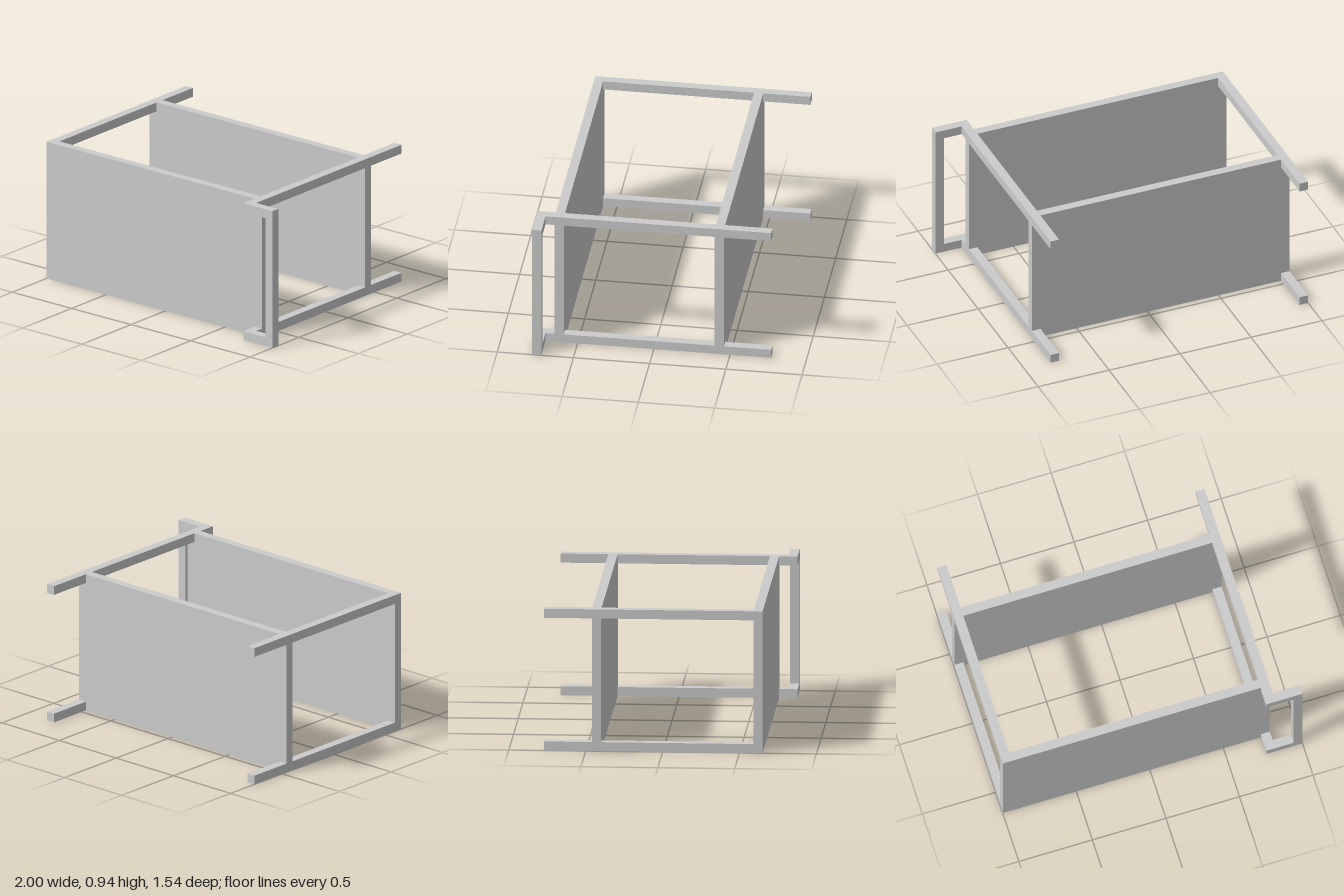
import * as THREE from 'three';

const H = 0.94;               // overall height
const T = 0.06;               // thickness of every bar and panel
const LEFT = -1, RIGHT = 0.815; // outer faces of the body in x
const BACK = [-0.46, -0.4], FRONT = [0.59, 0.65]; // panel depth ranges

const material = new THREE.MeshStandardMaterial({ color: 0xcccccc });

// Box given by its ranges along each axis
function addBox(parent, name, [x0, x1], [y0, y1], [z0, z1]) {
  const mesh = new THREE.Mesh(new THREE.BoxGeometry(x1 - x0, y1 - y0, z1 - z0), material);
  mesh.position.set((x0 + x1) / 2, (y0 + y1) / 2, (z0 + z1) / 2);
  mesh.name = name;
  parent.add(mesh);
}

export function createModel() {
  const model = new THREE.Group();
  model.name = 'panelFrame';

  // Two upright panels
  addBox(model, 'frontPanel', [LEFT, RIGHT], [0, H], FRONT);
  addBox(model, 'backPanel', [LEFT, RIGHT], [0, H], BACK);

  // Long rails, top and bottom on both sides, broken where the panels pass
  for (const [level, y] of [['bottom', [0, T]], ['top', [H - T, H]]]) {
    for (const [side, x] of [['Outer', [LEFT, LEFT + T]], ['Handle', [RIGHT - T, RIGHT]]]) {
      const rail = new THREE.Group();
      rail.name = `${level}${side}Rail`;
      addBox(rail, 'railTail', x, y, [-0.77, BACK[0]]);
      addBox(rail, 'railSpan', x, y, [BACK[1], FRONT[0]]);
      if (side === 'Handle') addBox(rail, 'railNose', x, y, [FRONT[1], 0.71]);
      model.add(rail);
    }
  }

  // U-shaped handle on the ends of the longer rails
  const u = new THREE.Shape([
    [RIGHT - T, 0], [1, 0], [1, H], [RIGHT - T, H],
    [RIGHT - T, H - T], [1 - T, H - T], [1 - T, T], [RIGHT - T, T],
  ].map(([x, y]) => new THREE.Vector2(x, y)));
  const handle = new THREE.Mesh(
    new THREE.ExtrudeGeometry(u, { depth: T, bevelEnabled: false }), material);
  handle.position.z = 0.71;
  handle.name = 'handle';
  model.add(handle);

  return model;
}
